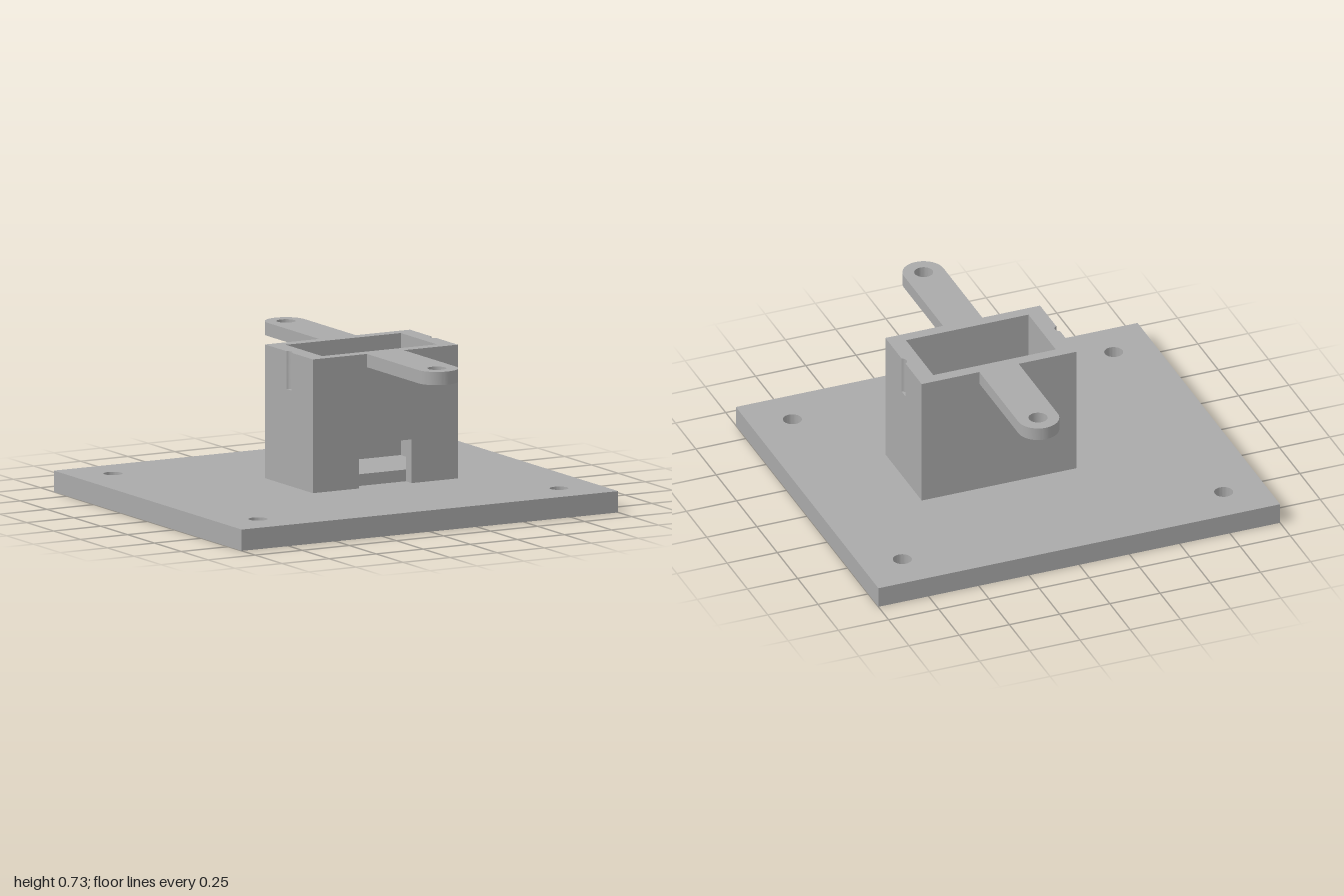
import * as THREE from 'three';
import { toCreasedNormals } from 'three/addons/utils/BufferGeometryUtils.js';

const CX = 0.135;                  // centre line of the housing
const XL = -0.25, XR = 0.52, D = 0.223;    // housing outer walls
const IL = -0.17, IR = 0.44, ID = 0.168;   // cavity walls
const WL = -0.005, WR = 0.275;     // window sides
const ARM_R = 0.098, ARM_Z = 0.702, HOLE_R = 0.044;

// Plan shapes use (x, -z) and are raised between two heights
function slab(shape, y0, y1) {
  const geo = new THREE.ExtrudeGeometry(shape, { depth: y1 - y0, bevelEnabled: false, curveSegments: 20 });
  geo.rotateX(-Math.PI / 2);
  geo.translate(0, y0, 0);
  return toCreasedNormals(geo, 0.6);
}

function polygon(points) {
  return new THREE.Shape(points.map(([x, y]) => new THREE.Vector2(x, y)));
}

function rect(x0, x1, d) {
  return polygon([[x0, -d], [x1, -d], [x1, d], [x0, d]]);
}

function addHole(shape, x, y) {
  shape.holes.push(new THREE.Path().absarc(x, y, HOLE_R, 0, Math.PI * 2, true));
}

// Housing ring with a groove in each end, optionally with the two arms
function groovedRing(withArms) {
  const r = 0.026, off = 0.01, a = Math.acos(off / r);
  const s = new THREE.Shape();
  s.moveTo(XL, -D);
  if (withArms) {
    s.lineTo(CX - ARM_R, -D);
    s.absarc(CX, -ARM_Z, ARM_R, Math.PI, Math.PI * 2, false);
    s.lineTo(CX + ARM_R, -D);
  }
  s.lineTo(XR, -D);
  s.absarc(XR + off, 0, r, Math.PI + a, Math.PI - a, true);
  s.lineTo(XR, D);
  if (withArms) {
    s.lineTo(CX + ARM_R, D);
    s.absarc(CX, ARM_Z, ARM_R, 0, Math.PI, false);
    s.lineTo(CX - ARM_R, D);
  }
  s.lineTo(XL, D);
  s.absarc(XL - off, 0, r, a, -a, true);
  s.closePath();
  s.holes.push(rect(IL, IR, ID));
  if (withArms) for (const side of [-1, 1]) addHole(s, CX, side * 0.702);
  return s;
}

export function createModel() {
  const group = new THREE.Group();
  const grey = new THREE.MeshStandardMaterial({ color: 0xaaaaaa });
  grey.name = 'plain grey';

  function add(name, shape, y0, y1) {
    const mesh = new THREE.Mesh(slab(shape, y0, y1), grey);
    mesh.name = name;
    group.add(mesh);
  }

  // Base plate with four mounting holes
  const base = rect(-1, 1, 0.875);
  for (const x of [-0.8, 0.8]) for (const y of [-0.675, 0.675]) addHole(base, x, y);
  add('basePlate', base, 0, 0.1);

  // Cavity floor
  add('cavityFloor', rect(IL, IR, ID), 0.1, 0.155);

  // Lower walls, open at the front window
  add('lowerWalls', polygon([
    [XL, -D], [WL, -D], [WL, -ID], [IL, -ID], [IL, ID], [IR, ID],
    [IR, -ID], [WR, -ID], [WR, -D], [XR, -D], [XR, D], [XL, D],
  ]), 0.1, 0.305);

  // Closed walls above the window
  const ring = rect(XL, XR, D);
  ring.holes.push(rect(IL, IR, ID));
  add('middleWalls', ring, 0.305, 0.55);

  // Grooved walls, then the rim with its mounting arms
  add('groovedWalls', groovedRing(false), 0.55, 0.665);
  add('rimAndArms', groovedRing(true), 0.665, 0.727);

  return group;
}
